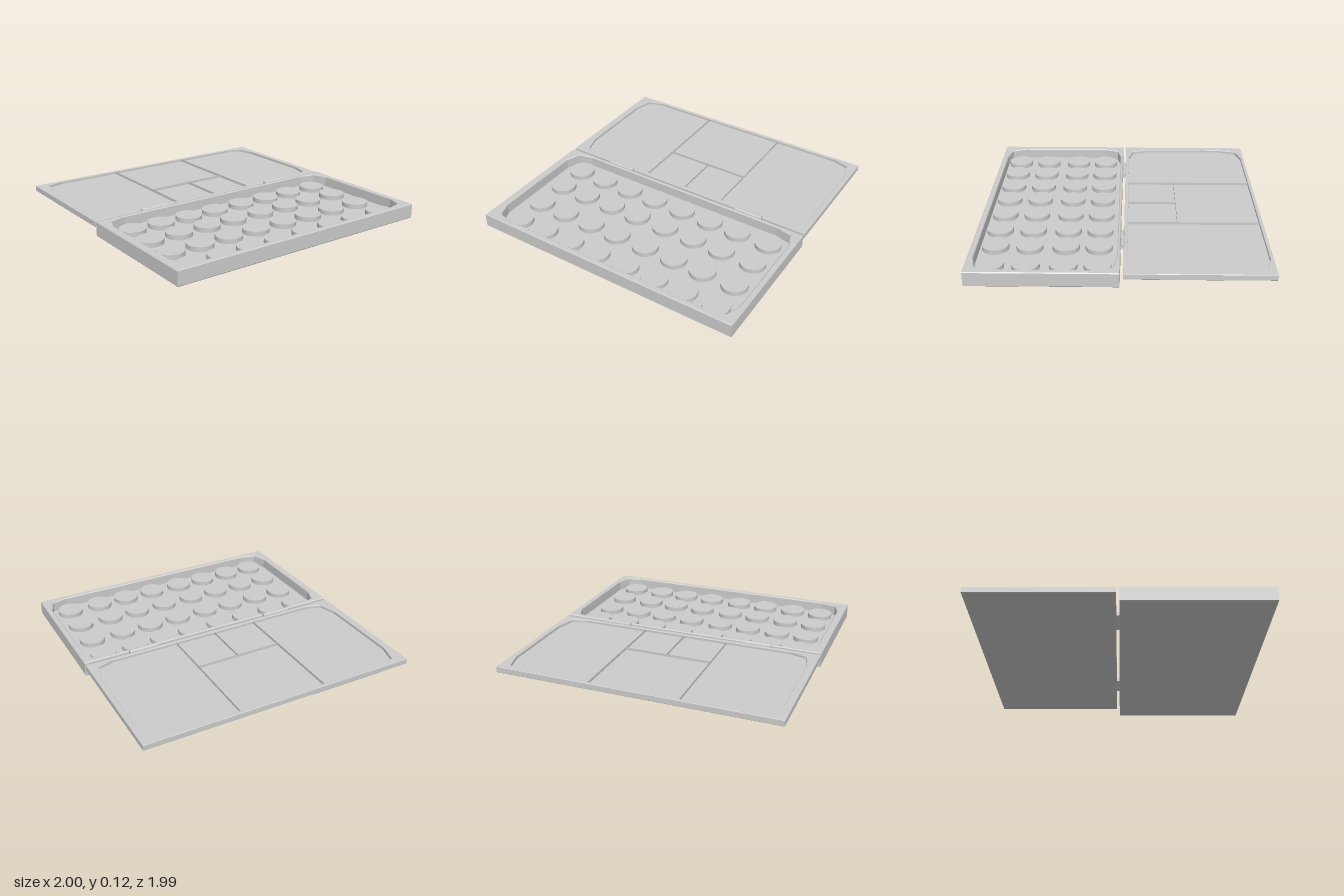
import * as THREE from 'three';

const material = new THREE.MeshStandardMaterial({ color: 0xcccccc });
const sheetMaterial = new THREE.MeshStandardMaterial({ color: 0xcccccc, side: THREE.DoubleSide });

function add(parent, name, geometry, x = 0, y = 0, z = 0, mat = material) {
  const mesh = new THREE.Mesh(geometry, mat);
  mesh.name = name;
  mesh.position.set(x, y, z);
  parent.add(mesh);
  return mesh;
}

// Turns floor-plan corners (x, z) into shape points
const plan = (corners) => corners.map(([x, z]) => new THREE.Vector2(x, -z));

// Rectangular outline whose corners are cut into facets (a long in x, b long in z)
function facetedOutline(x0, x1, z0, z1, a, b) {
  return plan([
    [x0 + a, z0], [x1 - a, z0], [x1 - a * 0.25, z0 + b * 0.2], [x1, z0 + b],
    [x1, z1 - b], [x1 - a * 0.25, z1 - b * 0.2], [x1 - a, z1],
    [x0 + a, z1], [x0 + a * 0.25, z1 - b * 0.2], [x0, z1 - b],
    [x0, z0 + b], [x0 + a * 0.25, z0 + b * 0.2],
  ]);
}

// Shallow tray: a rim with softened edges around a faceted opening, and a flat floor
function makeTray(name, z0, z1, bottom, floor, top, opening, bevel) {
  const tray = new THREE.Group();
  tray.name = name;
  const rim = new THREE.Shape(plan([[-1, z0], [-1, z1], [1, z1], [1, z0]]));
  rim.holes.push(new THREE.Path(opening));
  const geometry = new THREE.ExtrudeGeometry(rim, {
    depth: top - bottom - 2 * bevel,
    bevelThickness: bevel, bevelSize: bevel, bevelOffset: -bevel, bevelSegments: 1,
  });
  geometry.rotateX(-Math.PI / 2);
  add(tray, name + 'Rim', geometry, 0, bottom + bevel, 0);
  add(tray, name + 'Floor', new THREE.BoxGeometry(1.96, floor - bottom, z1 - z0 - 0.014),
    0, (bottom + floor) / 2, (z0 + z1) / 2);
  return tray;
}

export function createModel() {
  const model = new THREE.Group();
  model.name = 'paintBox';

  // Deep base tray
  const base = makeTray('base', 0, 0.995, 0, 0.03, 0.107,
    facetedOutline(-0.945, 0.96, 0.02, 0.955, 0.15, 0.13), 0.006);
  model.add(base);

  // Round paint pans standing on the base floor
  const panGeometry = new THREE.CylinderGeometry(0.0925, 0.0925, 0.034, 48);
  for (const z of [0.145, 0.37, 0.617, 0.85]) {
    for (const x of [-0.805, -0.582, -0.352, -0.127, 0.113, 0.344, 0.569, 0.81]) {
      add(base, 'paintPan', panGeometry, x, 0.046, z);
    }
  }

  // Open lid lying flat behind the base
  const lid = makeTray('lid', -0.995, -0.022, 0.06, 0.083, 0.103,
    facetedOutline(-0.947, 0.962, -0.972, -0.048, 0.15, 0.17), 0.003);
  model.add(lid);

  // Thin sheets splitting the lid into mixing wells
  const height = 0.019;
  const y = 0.083 + height / 2;
  for (const [x, zBack] of [[-0.318, -0.975], [0.32, -0.975], [0.01, -0.395]]) {
    const length = -0.045 - zBack;
    const sheet = add(lid, 'mixingDivider', new THREE.PlaneGeometry(length, height),
      x, y, zBack + length / 2, sheetMaterial);
    sheet.rotation.y = Math.PI / 2;
  }
  add(lid, 'mixingDivider', new THREE.PlaneGeometry(0.638, height), 0.001, y, -0.395, sheetMaterial);

  // Hinge barrels bridging the gap
  for (const [x0, x1] of [[-0.64, -0.43], [0.46, 0.67]]) {
    const barrel = add(model, 'hingeBarrel',
      new THREE.CylinderGeometry(0.015, 0.015, x1 - x0, 20), (x0 + x1) / 2, 0.105, -0.012);
    barrel.rotation.z = Math.PI / 2;
  }

  return model;
}
